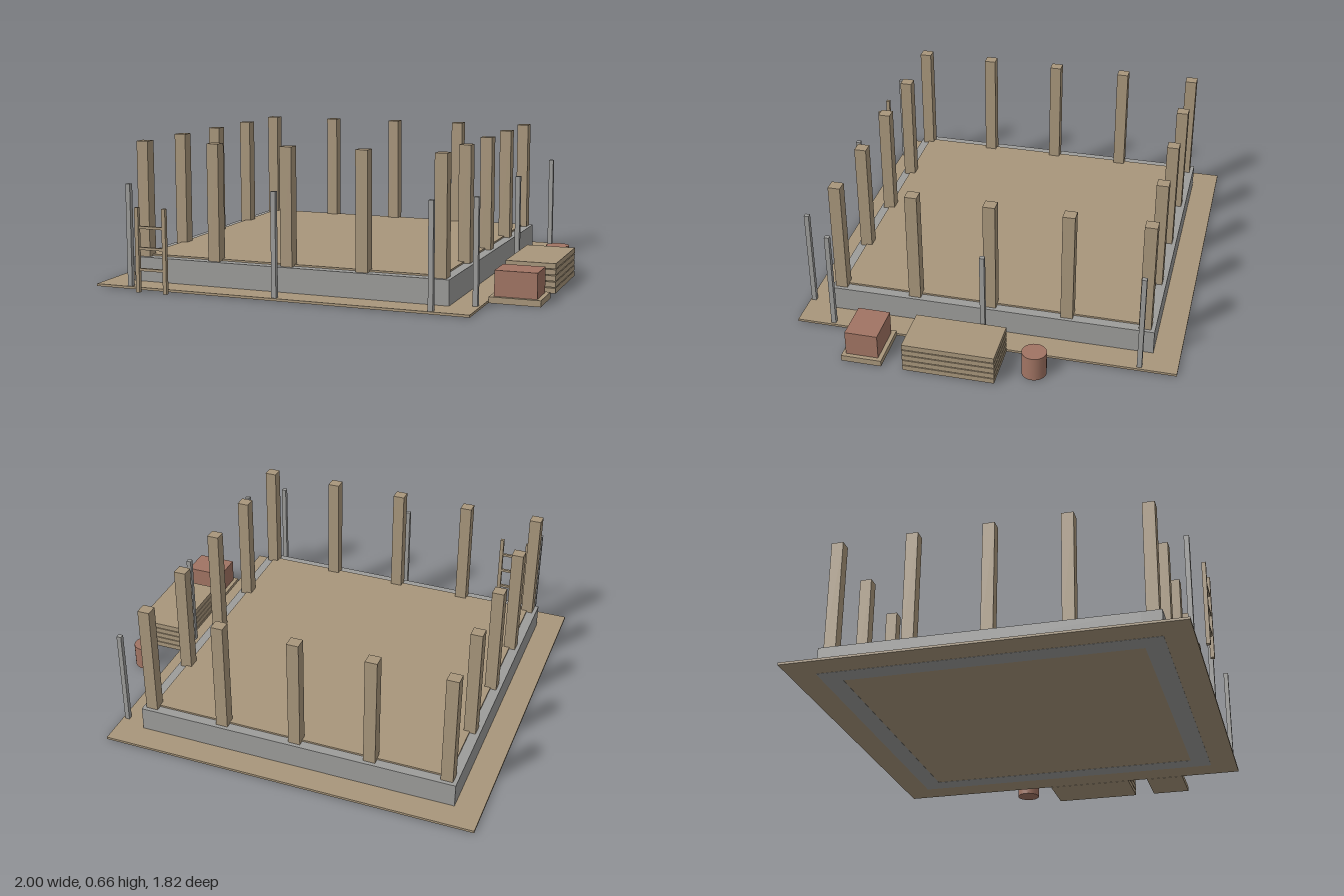
import * as THREE from 'three';

const mat = (name, color) => {
  const m = new THREE.MeshStandardMaterial({ color });
  m.name = name;
  return m;
};

export function createModel() {
  const timber = mat('tan timber and earth', 0xa8967b);
  const concrete = mat('grey concrete and steel', 0x9c9c9a);
  const brick = mat('red brick', 0xa17463);
  const model = new THREE.Group();
  model.name = 'buildingSite';

  // Box given by its lower and upper corners
  const box = (name, material, [x0, y0, z0], [x1, y1, z1], parent = model) => {
    const mesh = new THREE.Mesh(new THREE.BoxGeometry(x1 - x0, y1 - y0, z1 - z0), material);
    mesh.position.set((x0 + x1) / 2, (y0 + y1) / 2, (z0 + z1) / 2);
    mesh.name = name;
    parent.add(mesh);
    return mesh;
  };
  const group = (name) => {
    const g = new THREE.Group();
    g.name = name;
    model.add(g);
    return g;
  };

  // Ground pad and floor slab
  box('groundPad', timber, [-1, 0.001, -0.908], [0.77, 0.012, 0.858]);
  box('floorSlab', timber, [-0.83, 0.09, -0.739], [0.598, 0.133, 0.688]);

  // Foundation wall, an open rectangular ring
  const X0 = -0.876, X1 = 0.643, Z0 = -0.785, Z1 = 0.732, T = 0.091, H = 0.125;
  const walls = group('foundation');
  box('backWall', concrete, [X0, 0, Z0], [X1, H, Z0 + T], walls);
  box('frontWall', concrete, [X0, 0, Z1 - T], [X1, H, Z1], walls);
  box('rightWall', concrete, [X0, 0, Z0 + T], [X0 + T, H, Z1 - T], walls);
  box('leftWall', concrete, [X1 - T, 0, Z0 + T], [X1, H, Z1 - T], walls);

  // Timber posts around the perimeter
  const px = (i) => -0.83 + i * 0.357;
  const pz = (i) => -0.739 + i * 0.3568;
  const posts = group('posts');
  for (let i = 0; i < 5; i++) {
    for (let j = 0; j < 5; j++) {
      if (i % 4 && j % 4) continue;
      const x = px(i), z = pz(j), r = 0.028;
      box('post', timber, [x - r, 0.12, z - r], [x + r, 0.66, z + r], posts);
    }
  }

  // Scaffold poles along the front and left sides
  const poles = group('scaffoldPoles');
  const pole = (x, z) =>
    box('scaffoldPole', concrete, [x - 0.011, 0.01, z - 0.011], [x + 0.011, 0.48, z + 0.011], poles);
  for (const i of [0, 2, 4]) {
    pole(px(i), 0.841);
    pole(0.748, pz(i));
  }

  // Ladder
  const ladder = group('ladder');
  for (const x of [-0.757, -0.621]) {
    box('ladderRail', timber, [x - 0.009, 0, 0.89], [x + 0.009, 0.384, 0.908], ladder);
  }
  for (const y of [0.104, 0.2, 0.295]) {
    box('ladderRung', timber, [-0.75, y - 0.006, 0.893], [-0.628, y + 0.006, 0.905], ladder);
  }

  // Stacked planks
  const planks = group('plankStack');
  for (let i = 0; i < 5; i++) {
    const y = i * 0.028;
    box('plank', timber, [0.77, y, -0.138], [1, y + 0.024, 0.28], planks);
  }

  // Brick load on a pallet
  box('pallet', timber, [0.77, 0, 0.379], [1, 0.028, 0.565]);
  box('brickLoad', brick, [0.79, 0.028, 0.398], [0.98, 0.143, 0.548]);

  // Barrel
  const barrel = new THREE.Mesh(new THREE.CylinderGeometry(0.056, 0.056, 0.115, 24), brick);
  barrel.position.set(0.884, 0.0575, -0.291);
  barrel.name = 'barrel';
  model.add(barrel);

  return model;
}
